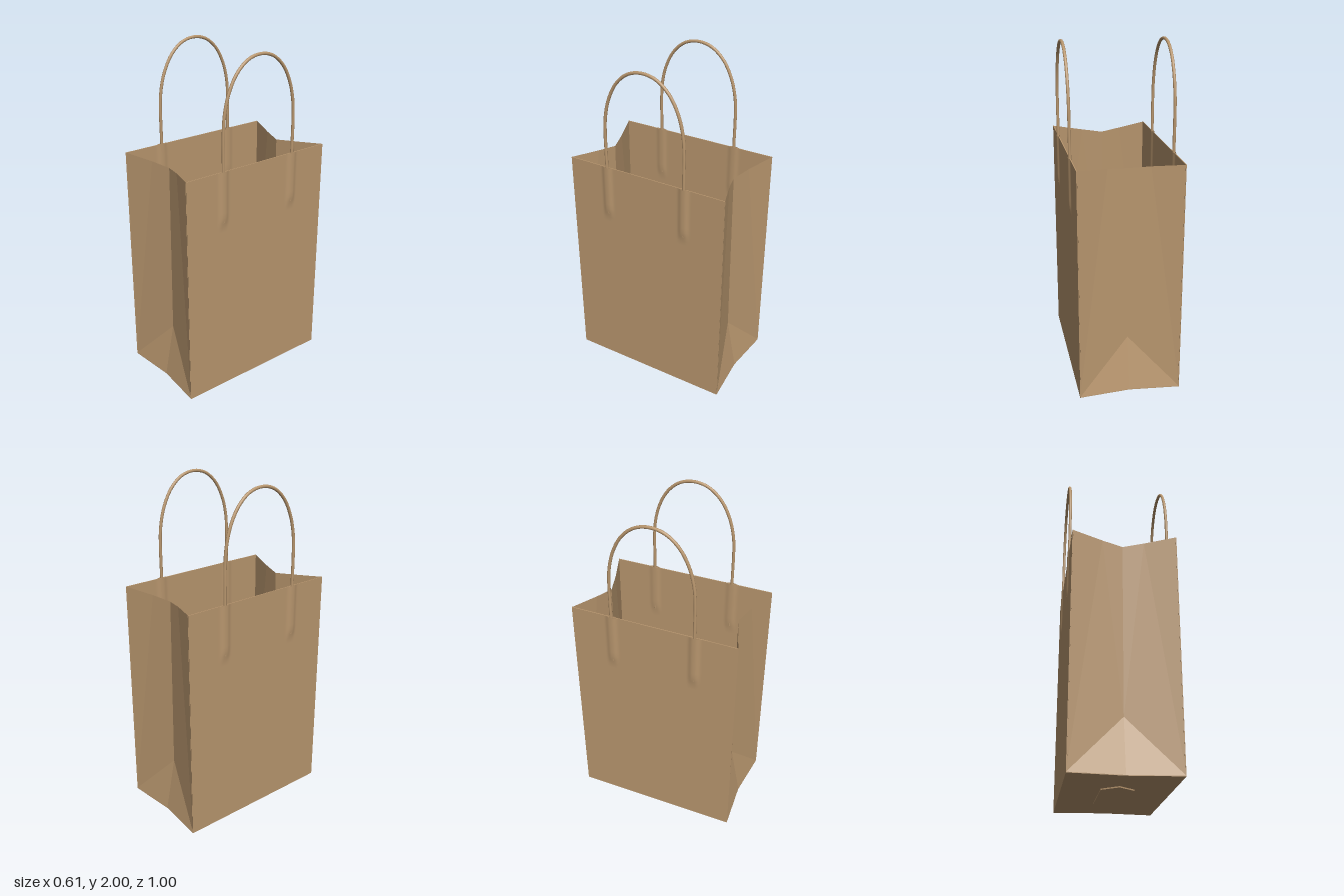
import * as THREE from 'three';

const paper = new THREE.MeshStandardMaterial({ color: 0xb8966e, side: THREE.DoubleSide });
const creased = paper.clone();
creased.flatShading = true;

const TOP = 1.39, BASE = 0.01, W = 0.298, D = 0.498, GRIP = 0.25;

function add(parent, name, geometry, material = paper) {
  const mesh = new THREE.Mesh(geometry, material);
  mesh.name = name;
  parent.add(mesh);
  return mesh;
}

// Surface made of flat paper facets
function facets(points, faces) {
  const g = new THREE.BufferGeometry();
  g.setAttribute('position', new THREE.Float32BufferAttribute(faces.flat().flatMap(i => points[i]), 3));
  g.computeVertexNormals();
  return g;
}

// Horizontal sheet with its outline given as [x, z]
function sheet(outline, y, thickness) {
  const shape = new THREE.Shape(outline.map(([x, z]) => new THREE.Vector2(x, -z)));
  const g = new THREE.ExtrudeGeometry(shape, { depth: thickness, bevelEnabled: false });
  return g.rotateX(-Math.PI / 2).translate(0, y, 0);
}

// Side wall skin, bulging by `swell` where the handle ends are glued in
function wallSkin(x, swell) {
  const g = new THREE.PlaneGeometry(2 * D, TOP - BASE, 120, 46);
  g.rotateY(Math.PI / 2).translate(x, (TOP + BASE) / 2, 0);
  const p = g.attributes.position;
  for (let i = 0; i < p.count; i++) {
    const off = Math.abs(Math.abs(p.getZ(i)) - GRIP);
    const across = 1 - THREE.MathUtils.smoothstep(off, 0.008, 0.04);
    const down = THREE.MathUtils.smoothstep(p.getY(i), 1.065, 1.11);
    p.setX(i, x + swell * across * down);
  }
  g.computeVertexNormals();
  return g;
}

// Arched cord with straight legs running into the wall
function handleGeometry() {
  const arch = [[0.25, 1.6], [0.243, 1.7], [0.215, 1.81], [0.16, 1.91], [0.085, 1.972], [0, 1.991]];
  const half = [[0.25, 1.09], [0.25, 1.25], [0.25, 1.45], ...arch];
  const path = [...half, ...half.slice(0, -1).reverse().map(([z, y]) => [-z, y])];
  const curve = new THREE.CatmullRomCurve3(path.map(([z, y]) => new THREE.Vector3(0, y, z)));
  return new THREE.TubeGeometry(curve, 90, 0.009, 10);
}

export function createModel() {
  const bag = new THREE.Group();
  bag.name = 'paperBag';

  // Two broad walls, each with a cord handle between its skins
  for (const [name, turn] of [['left', 0], ['right', Math.PI]]) {
    const side = new THREE.Group();
    side.name = name + 'Side';
    add(side, 'outerWall', wallSkin(W, 0.009));
    add(side, 'innerWall', wallSkin(W - 0.005, -0.006));
    add(side, 'rimEdge', new THREE.BoxGeometry(0.005, 0.004, 2 * D).translate(W - 0.0025, TOP - 0.002, 0));
    add(side, 'handle', handleGeometry()).position.x = W - 0.002;
    side.rotation.y = turn;
    bag.add(side);
  }

  // Folded gussets with a triangular crease at the foot
  const points = [
    [-W, BASE, D], [W, BASE, D], [0, BASE, 0.472], [0, 0.33, 0.41],
    [-W, TOP, D], [W, TOP, D], [0, 1.36, 0.4],
    [-0.12, 1.373, 0.434], [0.12, 1.373, 0.434],
  ];
  const faces = [
    [0, 2, 3], [2, 1, 3],
    [0, 3, 7], [0, 7, 4], [3, 6, 7],
    [1, 5, 8], [1, 8, 3], [3, 8, 6],
  ];
  for (const [name, turn] of [['frontGusset', 0], ['backGusset', Math.PI]]) {
    add(bag, name, facets(points, faces), creased).rotation.y = turn;
  }

  // Floor, with folded flaps inside and a glued overlap underneath
  add(bag, 'floor', sheet([[-W, -D], [0, -0.472], [W, -D], [W, D], [0, 0.472], [-W, D]], 0.007, 0.004), creased);
  for (const [name, turn] of [['frontFlap', 0], ['backFlap', Math.PI]]) {
    const flap = sheet([[-0.26, 0.13], [0.26, 0.13], [0.285, 0.46], [0, 0.435], [-0.285, 0.46]], 0.011, 0.003);
    add(bag, name, flap, creased).rotation.y = turn;
  }
  add(bag, 'innerOverlap', sheet([[-0.08, -0.13], [0.26, -0.13], [0.26, 0.13], [-0.08, 0.13]], 0.011, 0.002), creased);
  add(bag, 'underFold', sheet([[-0.09, -0.18], [0, -0.25], [0.09, -0.18], [0.09, 0.18], [0, 0.25], [-0.09, 0.18]], 0, 0.007), creased);

  return bag;
}
